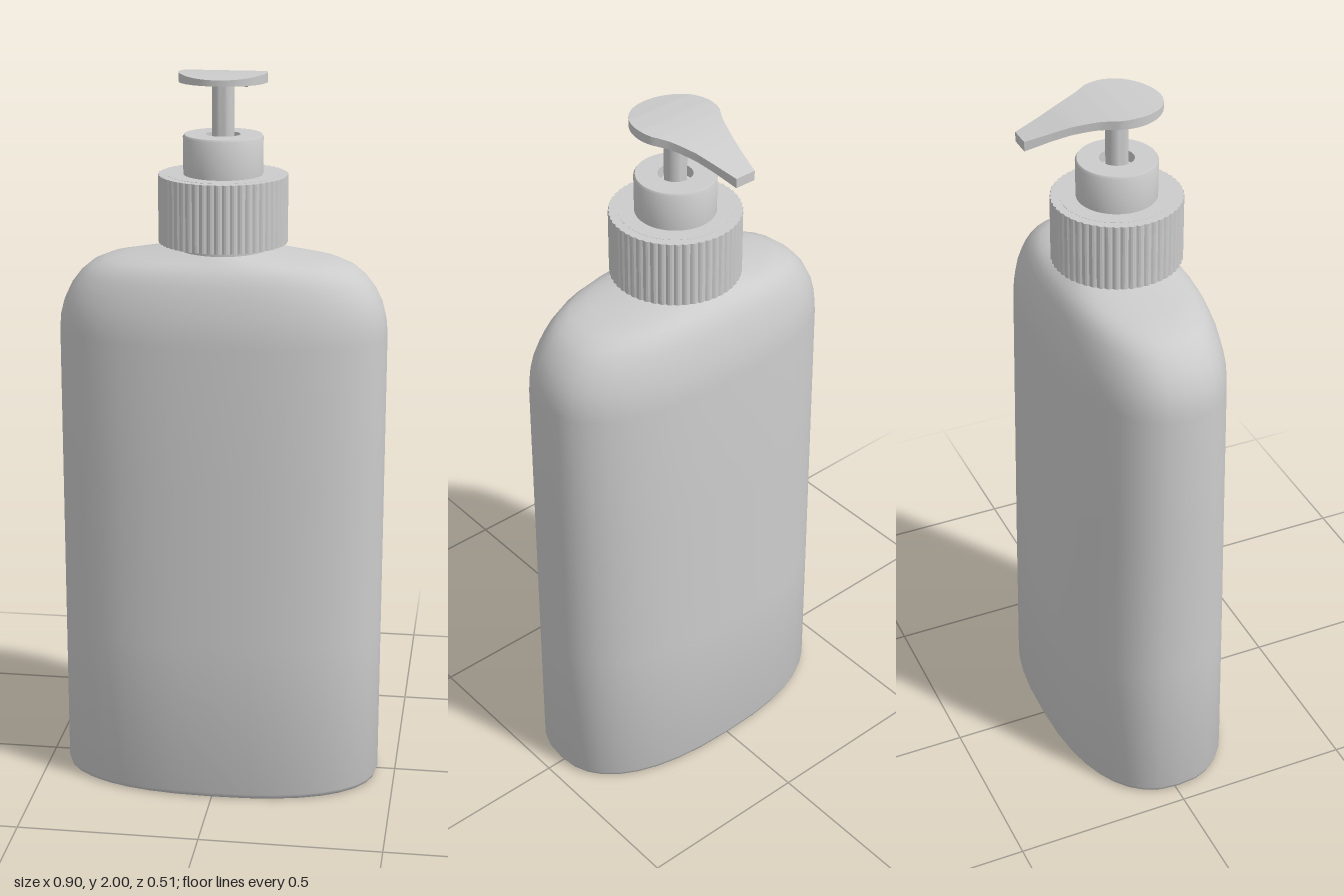
import * as THREE from 'three';
import { mergeVertices, toCreasedNormals } from 'three/addons/utils/BufferGeometryUtils.js';

const material = new THREE.MeshStandardMaterial({ color: 0xcccccc });
const AXIS_Z = 0.01; // the bottle's vertical axis

function addMesh(parent, name, geometry) {
  const mesh = new THREE.Mesh(geometry, material);
  mesh.name = name;
  parent.add(mesh);
  return mesh;
}

// Smooth round part with sharp rims, from [radius, y] pairs listed bottom to top
function turned(profile, segments = 48) {
  const points = profile.map(([r, y]) => new THREE.Vector2(r, y));
  return toCreasedNormals(new THREE.LatheGeometry(points, segments), 0.7);
}

// Piecewise-linear lookup in a list of [position, value] pairs
function lookup(table, t) {
  let i = 1;
  while (i < table.length - 1 && t > table[i][0]) i++;
  const [a, b] = [table[i - 1], table[i]];
  return THREE.MathUtils.mapLinear(t, a[0], b[0], a[1], b[1]);
}

// Body: a lathe whose rings are reshaped into superellipses
function bodyGeometry() {
  // [y, half width, half depth, exponent]
  const rings = [
    [0, 0, 0, 2.4],
    [0, 0.44, 0.236, 2.4],
    [0.004, 0.446, 0.241, 2.4],
    [0.015, 0.45, 0.245, 2.4],
    [0.45, 0.45, 0.238, 2.4],
    [0.9, 0.45, 0.229, 2.4],
    [1.3, 0.45, 0.221, 2.4],
    [1.34, 0.447, 0.218, 2.4],
    [1.38, 0.437, 0.211, 2.4],
    [1.42, 0.418, 0.201, 2.4],
    [1.455, 0.391, 0.189, 2.4],
    [1.48, 0.362, 0.177, 2.4],
    [1.498, 0.32, 0.163, 2.35],
    [1.508, 0.26, 0.151, 2.25],
    [1.518, 0.19, 0.139, 2.1],
    [1.528, 0.125, 0.125, 2],
  ];
  const geometry = new THREE.LatheGeometry(rings.map(([y]) => new THREE.Vector2(1, y)), 36);
  const position = geometry.attributes.position;
  for (let i = 0; i < position.count; i++) {
    const [y, halfWidth, halfDepth, n] = rings[i % rings.length];
    const angle = Math.atan2(position.getX(i), position.getZ(i));
    const bulge = (v) => Math.abs(v) < 1e-6 ? 0 : Math.sign(v) * Math.abs(v) ** (2 / n);
    position.setXYZ(i, halfWidth * bulge(Math.sin(angle)), y, halfDepth * bulge(Math.cos(angle)));
  }
  geometry.deleteAttribute('uv');
  geometry.deleteAttribute('normal');
  return toCreasedNormals(mergeVertices(geometry, 1e-5), 0.75);
}

// Screw collar: a hollow ring with fine grip ribs around its rim
function collarGeometry(height) {
  const ribs = 52, steps = ribs * 4;
  const outline = [];
  for (let i = 0; i < steps; i++) {
    const a = (i / steps) * Math.PI * 2;
    const r = 0.171 + 0.004 * Math.abs(Math.sin((a * ribs) / 2));
    outline.push(new THREE.Vector2(r * Math.cos(a), r * Math.sin(a)));
  }
  const shape = new THREE.Shape(outline);
  shape.holes.push(new THREE.Path().absarc(0, 0, 0.145, 0, Math.PI * 2, true));
  const geometry = new THREE.ExtrudeGeometry(shape, { depth: height, bevelEnabled: false, curveSegments: 32 });
  return geometry.rotateX(-Math.PI / 2);
}

// Pump head: a box with many slices, shaped into a drooping teardrop
function headGeometry() {
  const radius = 0.118, tip = -0.265;
  const neckDown = [[tip, 0.03], [-0.2, 0.046], [-0.15, 0.06], [-0.11, 0.075], [-0.08, 0.087], [-0.05, 0.105]];
  const top = [[tip, 1.949], [-0.2, 1.966], [-0.15, 1.98], [-0.1, 1.99], [-0.05, 1.997], [0, 2], [0.06, 1.999], [radius, 1.993]];
  const bottom = [[tip, 1.923], [-0.2, 1.944], [-0.15, 1.958], [-0.1, 1.968], [-0.04, 1.974], [0.04, 1.975], [radius, 1.977]];
  const slices = 48;
  const geometry = new THREE.BoxGeometry(2, 2, 1, 2, 1, slices);
  const position = geometry.attributes.position;
  for (let i = 0; i < position.count; i++) {
    // Slices bunch up towards the round front
    const t = position.getZ(i) + 0.5;
    const z = tip + (radius - tip) * Math.sin((t * Math.PI) / 2);
    const halfWidth = z > -0.05
      ? Math.sqrt(Math.max(radius * radius - z * z, 1e-6))
      : lookup(neckDown, z);
    const y = lookup(position.getY(i) > 0 ? top : bottom, z);
    position.setXYZ(i, position.getX(i) * halfWidth, y, z);
  }
  geometry.computeVertexNormals();
  return geometry;
}

export function createModel() {
  const bottle = new THREE.Group();
  bottle.name = 'pumpBottle';
  bottle.position.z = AXIS_Z;

  addMesh(bottle, 'body', bodyGeometry());

  // Neck, running up inside the collar
  addMesh(bottle, 'neck', turned([[0.125, 1.52], [0.125, 1.71]]));

  // Collar ring and its lid
  const collar = new THREE.Group();
  collar.name = 'collar';
  bottle.add(collar);
  addMesh(collar, 'collarRing', collarGeometry(0.183)).position.y = 1.545;
  addMesh(collar, 'collarLid', turned([[0, 1.705], [0.15, 1.705], [0.15, 1.7285], [0, 1.7285]]));

  // Pump: guide with a recess for the stem, stem, head
  const pump = new THREE.Group();
  pump.name = 'pump';
  bottle.add(pump);
  addMesh(pump, 'stemGuide', turned([
    [0.107, 1.725], [0.108, 1.829], [0.104, 1.835], [0.046, 1.835], [0.046, 1.805], [0, 1.805],
  ]));
  addMesh(pump, 'stem', turned([[0.03, 1.8], [0.03, 1.982]], 24));
  addMesh(pump, 'pumpHead', headGeometry());

  const model = new THREE.Group();
  model.add(bottle);
  return model;
}
